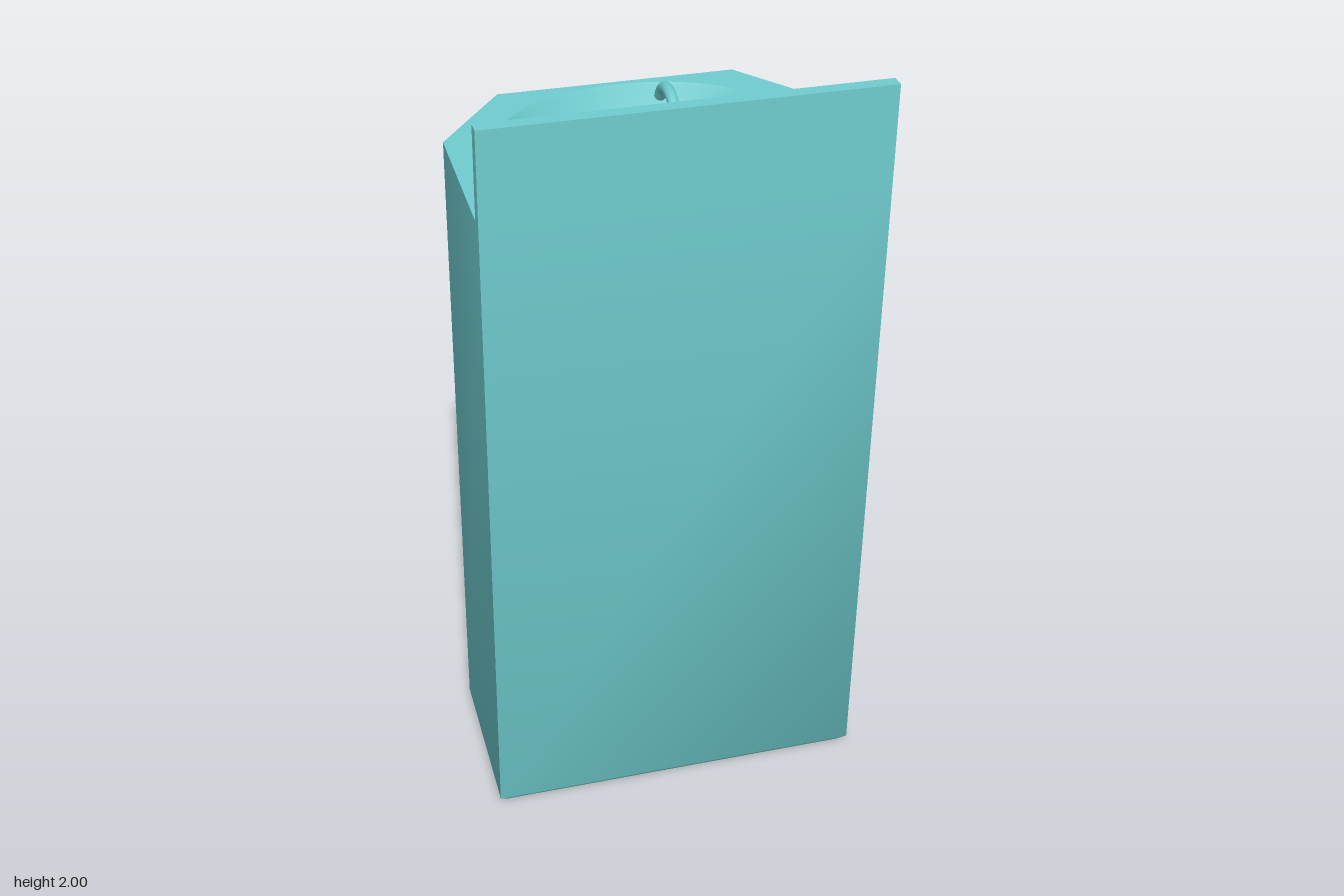
import * as THREE from 'three';
import { toCreasedNormals } from 'three/addons/utils/BufferGeometryUtils.js';

const SEG = 32;

// Egg-shaped ring: half-width rx, widest at zc, reaching zFront and zBack, cut flat at zMax
function egg(y, rx, zc, zFront, zBack, zMax = 10) {
  const ring = [];
  for (let j = 0; j < SEG; j++) {
    const t = (j / SEG) * Math.PI * 2;
    const c = Math.cos(t);
    const z = zc + c * (c > 0 ? zBack - zc : zc - zFront);
    ring.push([rx * Math.sin(t), y, Math.min(z, zMax)]);
  }
  return ring;
}

// Skin over a list of rings with equal point counts
function loft(rings, crease) {
  const n = rings[0].length;
  const index = [];
  for (let i = 0; i < rings.length - 1; i++) {
    for (let j = 0; j < n; j++) {
      const a = i * n + j, b = i * n + ((j + 1) % n);
      index.push(a, b, b + n, a, b + n, a + n);
    }
  }
  const geometry = new THREE.BufferGeometry();
  geometry.setAttribute('position', new THREE.Float32BufferAttribute(rings.flat(2), 3));
  geometry.setIndex(index);
  return toCreasedNormals(geometry, crease);
}

export function createModel() {
  const group = new THREE.Group();
  const teal = new THREE.MeshStandardMaterial({ color: 0x6fcccf });
  const grey = new THREE.MeshStandardMaterial({ color: 0xcccccc });

  function add(name, geometry, x = 0, y = 0, z = 0, material = teal) {
    const mesh = new THREE.Mesh(geometry, material);
    mesh.name = name;
    mesh.position.set(x, y, z);
    group.add(mesh);
    return mesh;
  }

  // Cabinet with angled front corners and a small chamfer at the floor
  const plan = [[-0.49, 0.745], [0.49, 0.745], [0.49, 0.3], [0.31, 0.065], [-0.31, 0.065], [-0.49, 0.3]];
  const section = (y, s) => plan.map(([x, z]) => [x * s, y, 0.4 + (z - 0.4) * s]);
  add('cabinet', loft([section(0, 0), section(0, 0.955), section(0.02, 1), section(1.76, 1)], 1.0));

  // Counter with an oval opening
  const basinRing = (y, s) => egg(y, 0.35 * s, 0.32, 0.32 - 0.24 * s, 0.32 + 0.235 * s);
  const top = new THREE.Shape(plan.map(([x, z]) => new THREE.Vector2(x, -z)));
  top.holes.push(new THREE.Path(basinRing(0, 1).map(([x, , z]) => new THREE.Vector2(x, -z))));
  add('counter', new THREE.ShapeGeometry(top).rotateX(-Math.PI / 2), 0, 1.76, 0);

  // Sink bowl and drain
  const basin = [[1.76, 1], [1.745, 0.97], [1.7, 0.9], [1.65, 0.78], [1.61, 0.6], [1.585, 0.35], [1.575, 0]];
  add('sinkBowl', loft(basin.map(([y, s]) => basinRing(y, s)), 1.0));
  add('drain', new THREE.SphereGeometry(0.03, 16, 10).scale(1, 0.5, 1), 0, 1.58, 0.32);

  // Backsplash
  add('backsplash', new THREE.BoxGeometry(0.98, 0.25, 0.035), 0, 1.875, 0.7275);

  // Tap: foot, hub, two handles and a curved spout
  add('tapFoot', new THREE.CylinderGeometry(0.02, 0.027, 0.03, 12), 0, 1.772, 0.625);
  add('tapHub', new THREE.SphereGeometry(0.028, 12, 8), 0, 1.805, 0.625);
  for (const side of [-1, 1]) {
    add(side > 0 ? 'leftHandle' : 'rightHandle',
      new THREE.CylinderGeometry(0.031, 0.031, 0.068, 12).rotateZ(Math.PI / 2), side * 0.059, 1.805, 0.62);
    add('handleStem', new THREE.CylinderGeometry(0.015, 0.015, 0.04, 8).rotateZ(Math.PI / 2), side * 0.02, 1.805, 0.622);
  }
  const spoutPath = new THREE.CatmullRomCurve3(
    [[1.81, 0.627], [1.87, 0.627], [1.915, 0.612], [1.945, 0.58], [1.952, 0.54], [1.94, 0.505], [1.908, 0.478]]
      .map(([y, z]) => new THREE.Vector3(0, y, z)));
  add('spout', new THREE.TubeGeometry(spoutPath, 24, 0.014, 10));
  add('spoutTip', new THREE.CircleGeometry(0.014, 10)
    .applyQuaternion(new THREE.Quaternion().setFromUnitVectors(new THREE.Vector3(0, 0, 1), spoutPath.getTangent(1))),
  0, 1.908, 0.478);

  // Toilet body: height, half-width, widest z, front z, all flat against the cabinet
  const body = [
    [0, 0.232, -0.22, -0.59], [0.02, 0.24, -0.22, -0.602], [0.14, 0.222, -0.22, -0.56],
    [0.24, 0.214, -0.22, -0.545], [0.35, 0.218, -0.21, -0.546], [0.45, 0.24, -0.21, -0.6],
    [0.53, 0.264, -0.21, -0.66], [0.62, 0.288, -0.21, -0.71], [0.7, 0.305, -0.21, -0.735],
    [0.8, 0.317, -0.21, -0.748], [0.818, 0.314, -0.21, -0.744], [0.825, 0.305, -0.21, -0.734],
  ].map(([y, rx, zc, zf]) => egg(y, rx, zc, zf, 0.09, 0.067));
  const opening = [
    egg(0.825, 0.2, -0.25, -0.6, -0.08), egg(0.812, 0.19, -0.25, -0.588, -0.092),
    egg(0.74, 0.188, -0.25, -0.575, -0.09), egg(0.64, 0.184, -0.25, -0.515, -0.085),
  ];
  add('toiletBody', loft([egg(0, 0, -0.25, -0.25, -0.25), ...body, ...opening], 0.9));

  // Inside of the toilet bowl
  const inner = [[0.64, 1], [0.57, 0.92], [0.5, 0.75], [0.45, 0.5], [0.43, 0.25], [0.425, 0]];
  add('toiletBowl', loft(inner.map(([y, s]) =>
    egg(y, 0.184 * s, -0.25, -0.25 - 0.265 * s, -0.25 + 0.165 * s)), 1.0), 0, 0, 0, grey);

  return group;
}
